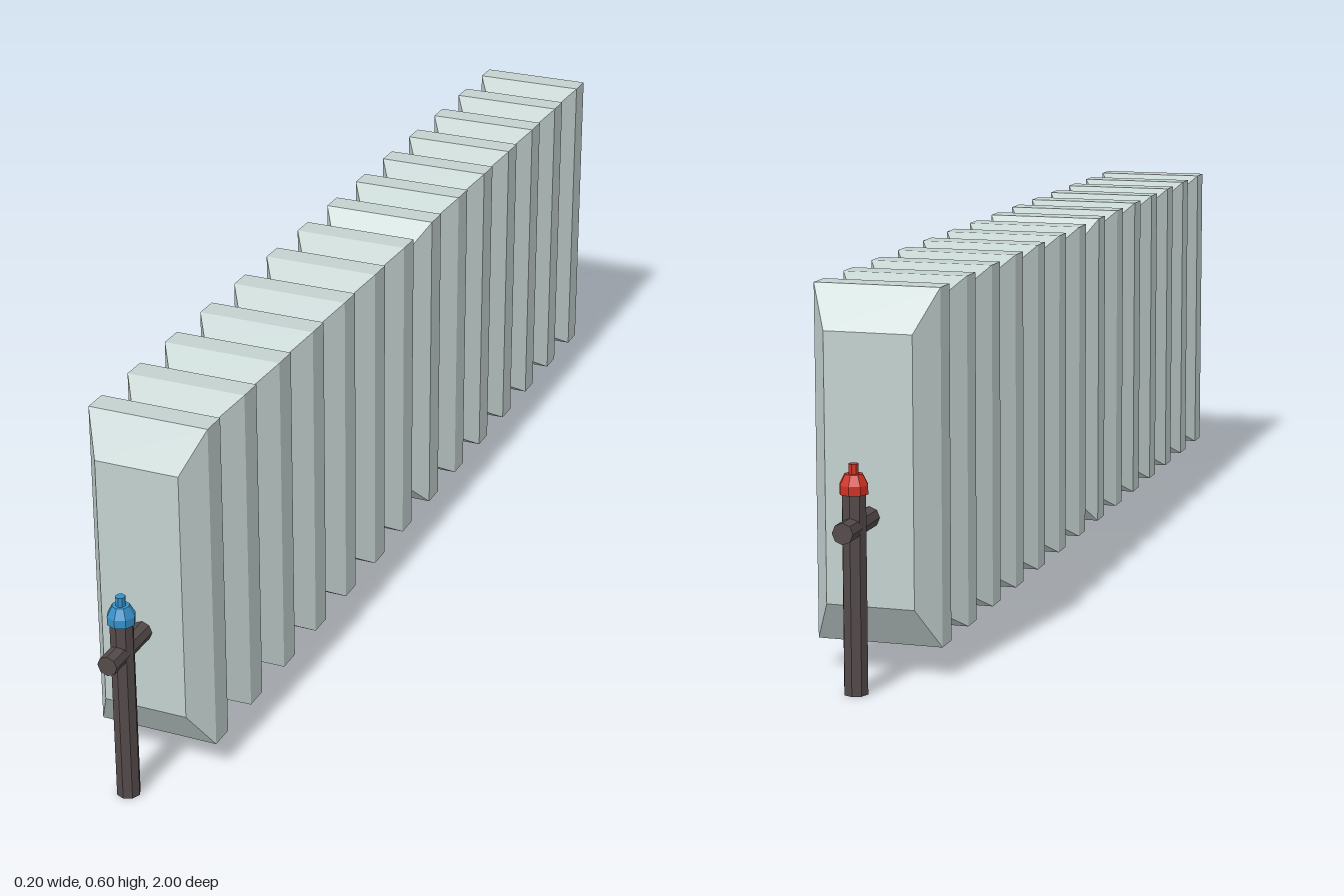
import * as THREE from 'three';

const material = (name, color) => {
  const m = new THREE.MeshStandardMaterial({ color, flatShading: true });
  m.name = name;
  return m;
};

// Ribbed body: rectangular rings lofted along z
function ribbedBody() {
  const ribs = 14, half = 0.885, third = (2 * half) / ribs / 3;
  const rings = [];
  const addRing = (z, dx, dy) => {
    const x = 0.1 - dx, y0 = 0.05 + dy, y1 = 0.6 - dy;
    rings.push([[-x, y0, z], [x, y0, z], [x, y1, z], [-x, y1, z]]);
  };
  for (let i = 0; i <= ribs * 3; i++) {
    const z = -half + i * third;
    if (i === 0 || i === ribs * 3) addRing(z, 0.03, 0.066); // bevelled ends
    else if (i === ribs * 1.5) addRing(z, 0.03, 0.045); // middle joint
    else if (i % 3 === 0) addRing(z, 0.028, 0.028); // groove
    else addRing(z, 0, 0); // rib crest
  }
  const pos = [];
  const quad = (a, b, c, d) => pos.push(...a, ...b, ...c, ...a, ...c, ...d);
  for (let r = 0; r < rings.length - 1; r++) {
    const a = rings[r], b = rings[r + 1];
    for (let i = 0; i < 4; i++) {
      const j = (i + 1) % 4;
      quad(a[i], a[j], b[j], b[i]);
    }
  }
  const first = rings[0], last = rings[rings.length - 1];
  quad(first[3], first[2], first[1], first[0]);
  quad(...last);
  const g = new THREE.BufferGeometry();
  g.setAttribute('position', new THREE.Float32BufferAttribute(pos, 3));
  g.computeVertexNormals();
  return g;
}

export function createModel() {
  const model = new THREE.Group();
  model.name = 'radiator';
  const enamel = material('pale grey enamel', 0xc3d1cf);
  const iron = material('dark pipe', 0x544a4a);
  const blue = material('cold blue', 0x3590c8);
  const red = material('hot red', 0xd03022);

  const add = (parent, name, geometry, mat, x, y, z) => {
    const mesh = new THREE.Mesh(geometry, mat);
    mesh.name = name;
    mesh.position.set(x, y, z);
    parent.add(mesh);
    return mesh;
  };

  add(model, 'ribbedBody', ribbedBody(), enamel, 0, 0, 0);

  // Stand pipe, cross pipe and valve knob at each end
  const knobProfile = [
    [0, 0.305], [0.0225, 0.305], [0.0225, 0.319], [0.014, 0.335],
    [0.008, 0.335], [0.008, 0.35], [0, 0.35],
  ].map(([x, y]) => new THREE.Vector2(x, y));

  for (const [side, name, mat] of [[1, 'front', blue], [-1, 'back', red]]) {
    const end = new THREE.Group();
    end.name = name + 'Connection';
    add(end, 'standPipe', new THREE.CylinderGeometry(0.019, 0.019, 0.307, 8), iron, 0, 0.1535, side * 0.95);
    const cross = add(end, 'crossPipe', new THREE.CylinderGeometry(0.0165, 0.0165, 0.13, 8), iron, 0, 0.255, side * 0.935);
    cross.rotation.x = Math.PI / 2;
    add(end, 'valveKnob', new THREE.LatheGeometry(knobProfile, 8), mat, 0, 0, side * 0.95);
    model.add(end);
  }
  return model;
}
